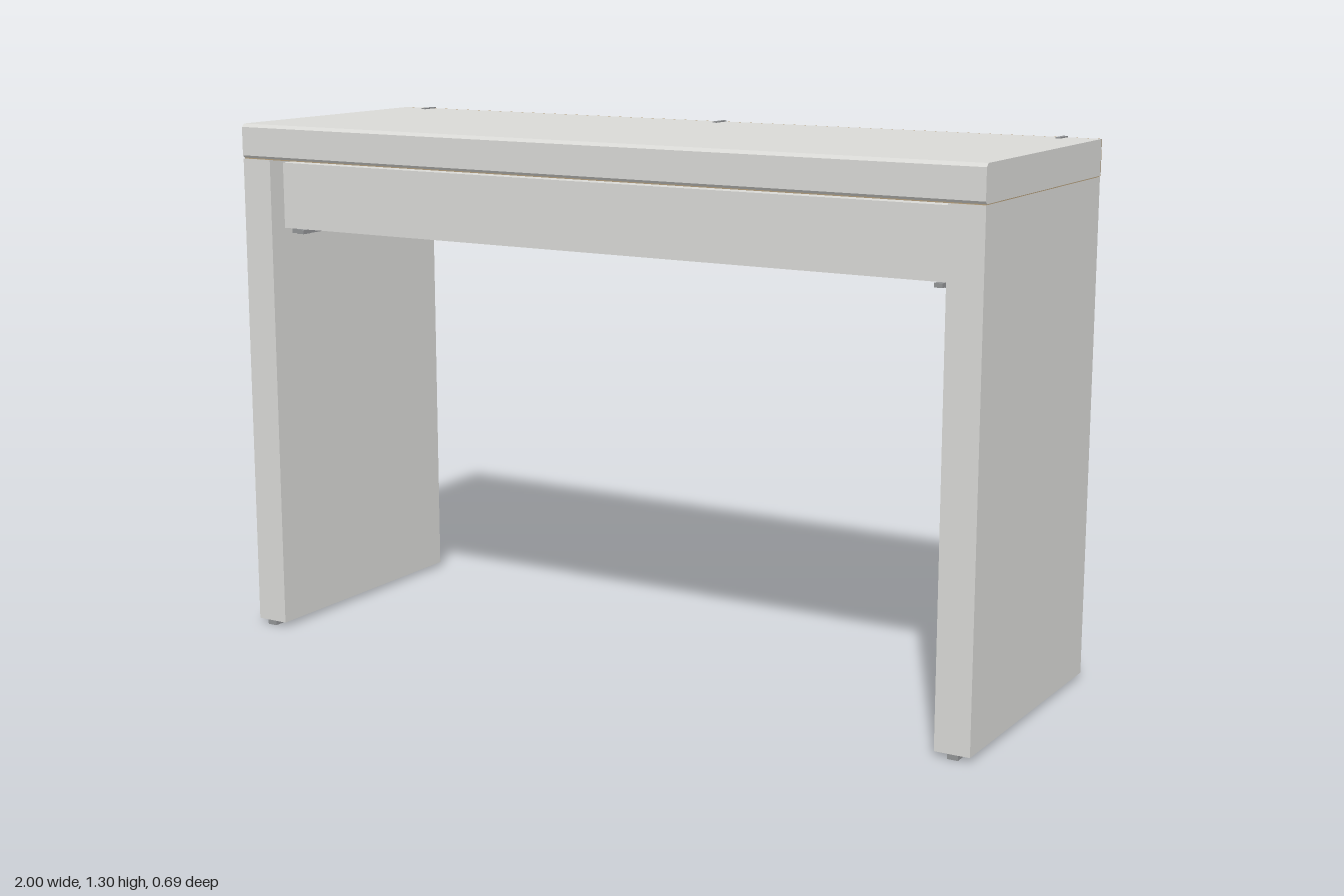
import * as THREE from 'three';

const mat = (name, color) => {
  const m = new THREE.MeshStandardMaterial({ color });
  m.name = name;
  return m;
};

export function createModel() {
  const white = mat('white lacquer', 0xd9d9d6);
  const board = mat('raw board', 0xb09c7c);
  const metal = mat('grey metal', 0x929496);
  const desk = new THREE.Group();
  desk.name = 'desk';

  // Box given by its limits on each axis
  const box = (name, material, [x0, x1], [y0, y1], [z0, z1], parent = desk) => {
    const mesh = new THREE.Mesh(new THREE.BoxGeometry(x1 - x0, y1 - y0, z1 - z0), material);
    mesh.position.set((x0 + x1) / 2, (y0 + y1) / 2, (z0 + z1) / 2);
    mesh.name = name;
    parent.add(mesh);
    return mesh;
  };
  // The same limits mirrored to the other side
  const span = (side, a, b) => (side > 0 ? [a, b] : [-b, -a]);

  // Tabletop: side profile with an eased front edge, run along x
  const c = 0.008;
  const profile = new THREE.Shape([[-0.34, 1.215], [0.334, 1.215], [0.34, 1.221],
    [0.34, 1.3 - c], [0.34 - c, 1.3], [-0.34, 1.3]].map(([z, y]) => new THREE.Vector2(-z, y)));
  const topGeo = new THREE.ExtrudeGeometry(profile, { depth: 2, bevelEnabled: false });
  topGeo.translate(0, 0, -1).rotateY(Math.PI / 2);
  const top = new THREE.Mesh(topGeo, white);
  top.name = 'tabletop';
  desk.add(top);
  box('tabletopBackEdge', board, [-1, 1], [1.214, 1.3], [-0.342, -0.339]);
  box('tabletopUnderside', board, [-0.999, 0.999], [1.2125, 1.216], [-0.339, 0.334]);

  // Panel legs with unfinished undersides and foot strips
  for (const s of [1, -1]) {
    const leg = new THREE.Group();
    leg.name = s > 0 ? 'leftLeg' : 'rightLeg';
    desk.add(leg);
    box('legPanel', [white, white, board, board, white, white], span(s, 0.915, 1),
      [0.012, 1.213], [-0.338, 0.338], leg);
    for (const z of [-0.28, 0.28]) {
      box('footStrip', metal, span(s, 0.946, 0.972), [0, 0.012], [z - 0.058, z + 0.058], leg);
    }
  }

  // Drawer: white front, raw board box open at the top
  const drawer = new THREE.Group();
  drawer.name = 'drawer';
  desk.add(drawer);
  box('drawerFront', white, [-0.905, 0.905], [1.04, 1.204], [0.26, 0.3], drawer);
  box('drawerBottom', board, [-0.89, 0.89], [1.045, 1.057], [-0.27, 0.26], drawer);
  box('drawerBack', board, [-0.89, 0.89], [1.045, 1.19], [-0.285, -0.27], drawer);

  for (const s of [1, -1]) {
    box('drawerSide', board, span(s, 0.885, 0.9), [1.04, 1.195], [-0.3, 0.26], drawer);
    // Slide rails below the drawer and at its upper rear corners
    box('slideRail', metal, span(s, 0.875, 0.912), [1.022, 1.037], [-0.3, 0.26]);
    box('slideFlange', metal, span(s, 0.908, 0.915), [1.022, 1.06], [-0.3, 0.26]);
    box('railEndStop', metal, span(s, 0.862, 0.882), [1.024, 1.034], [0.25, 0.28]);
    box('rearBracket', metal, span(s, 0.872, 0.905), [1.195, 1.21], [-0.31, -0.27]);
    box('rearPlate', metal, span(s, 0.9, 0.915), [1.16, 1.205], [-0.335, -0.3]);
  }

  // Cable clips hooked over the back edge
  for (const x of [-0.91, 0, 0.91]) {
    const clip = new THREE.Group();
    clip.name = 'backClip';
    desk.add(clip);
    box('clipTop', metal, [x - 0.006, x + 0.006], [1.298, 1.303], [-0.343, -0.295], clip);
    box('clipHook', metal, [x - 0.006, x + 0.006], [1.275, 1.303], [-0.345, -0.341], clip);
  }
  return desk;
}
